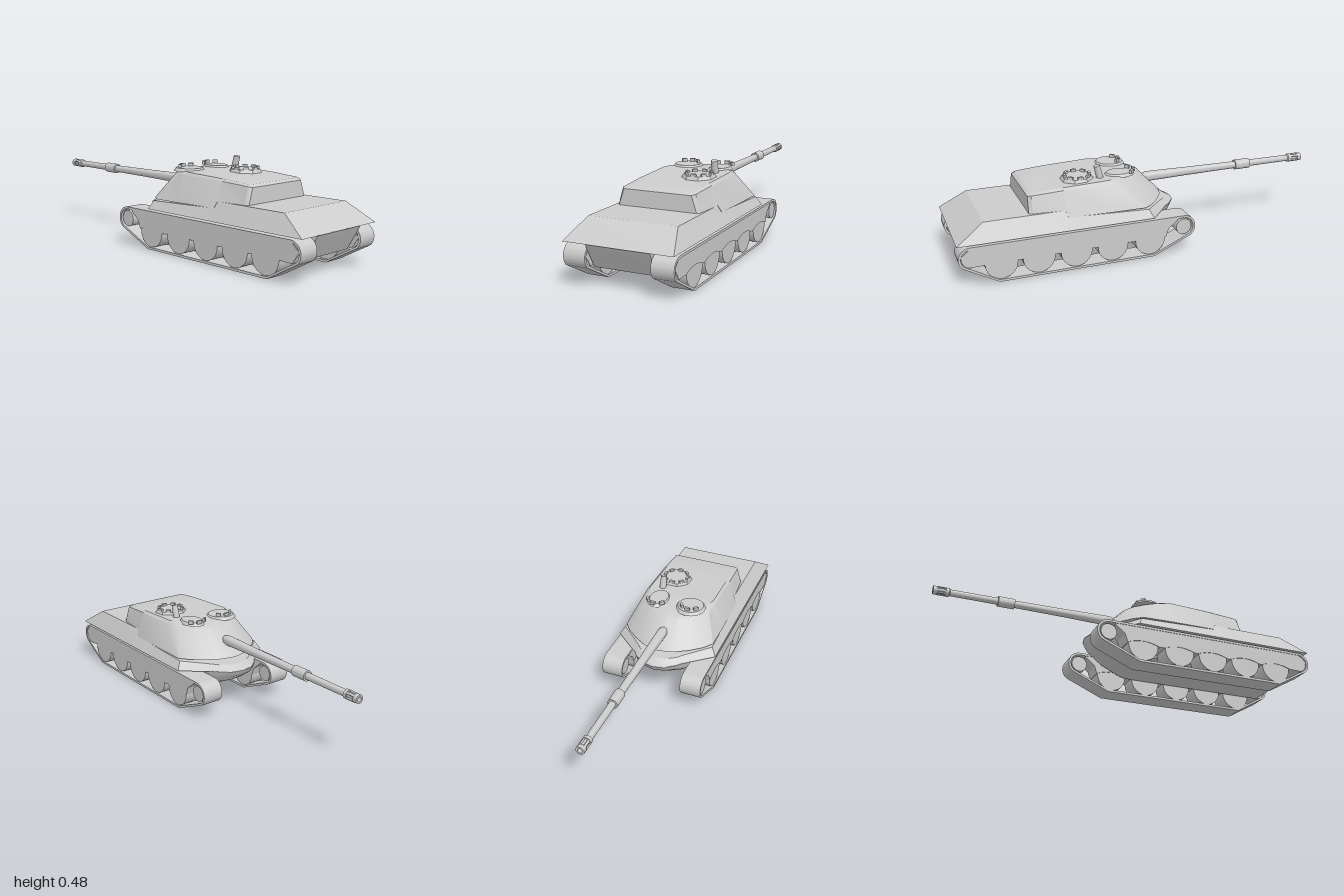
import * as THREE from 'three';
import { toCreasedNormals } from 'three/addons/utils/BufferGeometryUtils.js';

const material = new THREE.MeshStandardMaterial({ color: 0xcccccc });

function add(parent, name, geometry, x = 0, y = 0, z = 0) {
  const mesh = new THREE.Mesh(geometry, material);
  mesh.name = name;
  mesh.position.set(x, y, z);
  parent.add(mesh);
  return mesh;
}

// Stacks mirrored outlines, each given as its +x half from nose to tail: [x, z, y]
function loft(layers, crease = 0.5) {
  const rings = layers.map((half) => [
    ...half.map(([x, z, y]) => [x, y, z]),
    ...half.map(([x, z, y]) => [-x, y, z]).reverse(),
  ]);
  const n = rings[0].length;
  const pos = [];
  const quad = (a, b, c, d) => pos.push(...a, ...b, ...c, ...a, ...c, ...d);
  for (let k = 0; k < rings.length - 1; k++) {
    const lo = rings[k], hi = rings[k + 1];
    for (let i = 0; i < n - 1; i++) quad(lo[i], hi[i], hi[i + 1], lo[i + 1]);
  }
  // caps run across in strips so that they can follow steps
  const bottom = rings[0], top = rings[rings.length - 1];
  for (let i = 0; i < n / 2 - 1; i++) {
    const m = n - 1 - i;
    quad(top[m], top[m - 1], top[i + 1], top[i]);
    quad(bottom[i], bottom[i + 1], bottom[m - 1], bottom[m]);
  }
  const g = new THREE.BufferGeometry();
  g.setAttribute('position', new THREE.Float32BufferAttribute(pos, 3));
  return toCreasedNormals(g, crease);
}

// Extrudes a (z, y) side shape across x, centred
function extrudeSide(shape, width) {
  const g = new THREE.ExtrudeGeometry(shape, { depth: width, bevelEnabled: false, curveSegments: 16 });
  g.translate(0, 0, -width / 2).rotateY(-Math.PI / 2);
  return toCreasedNormals(g, 0.5);
}

// Track loop outline, pulled in by an inset
function trackOutline(path, inset) {
  path.moveTo(0, inset);
  path.lineTo(0.8, inset);
  path.absarc(0.93, 0.14, 0.06 - inset, -0.87, Math.PI / 2, false);
  path.absarc(-0.165, 0.138, 0.062 - inset, Math.PI / 2, 4.1, false);
  path.lineTo(0, inset);
  return path;
}

function createTrack(side) {
  const track = new THREE.Group();
  track.name = side > 0 ? 'leftTrack' : 'rightTrack';
  track.position.x = side * 0.219;
  const wheelZ = [0.785, 0.6, 0.41, 0.22, 0.02];

  const belt = trackOutline(new THREE.Shape(), 0);
  belt.holes.push(trackOutline(new THREE.Path(), 0.012));
  add(track, 'trackBelt', extrudeSide(belt, 0.112));

  // scalloped guard above the wheels
  const guard = new THREE.Shape();
  guard.moveTo(-0.13, 0.194);
  guard.lineTo(0.93, 0.194);
  guard.lineTo(0.978, 0.15);
  guard.lineTo(0.94, 0.095);
  for (const z of wheelZ) {
    guard.lineTo(z + 0.085, 0.097);
    guard.quadraticCurveTo(z, 0.133, z - 0.085, 0.097);
  }
  guard.lineTo(-0.08, 0.14);
  guard.lineTo(-0.13, 0.18);
  add(track, 'trackGuard', extrudeSide(guard, 0.106));

  const wheel = (name, r, y, z) =>
    add(track, name, new THREE.CylinderGeometry(r, r, 0.1, 28).rotateZ(Math.PI / 2), 0, y, z);
  wheelZ.forEach((z) => wheel('roadWheel', 0.08, 0.093, z));
  wheel('idlerWheel', 0.042, 0.138, -0.165);
  wheel('driveSprocket', 0.046, 0.14, 0.93);
  return track;
}

// Raised hatch plate with periscope blocks on an arc
function createHatch(name, x, y, z, plate, rx, rz, angles) {
  const hatch = new THREE.Group();
  hatch.name = name;
  hatch.position.set(x, y, z);
  add(hatch, 'hatchPlate', plate);
  for (const a of angles) {
    const block = add(hatch, 'periscope', new THREE.BoxGeometry(0.026, 0.018, 0.013),
      Math.sin(a) * rx, 0.015, -Math.cos(a) * rz);
    block.rotation.y = -a;
  }
  return hatch;
}

function createGun() {
  const gun = new THREE.Group();
  gun.name = 'gun';
  gun.position.y = 0.336;
  const profile = [
    [0, 0.03], [0.018, 0.036], [0.026, 0.06], [0.026, 0.1], [0.022, 0.3], [0.019, 0.585],
    [0.027, 0.585], [0.027, 0.67], [0.018, 0.67], [0.017, 0.915],
    [0.023, 0.92], [0.023, 0.937], [0.016, 0.937], [0.016, 0.978],
    [0.022, 0.978], [0.022, 1.0], [0.012, 1.0], [0.012, 0.96], [0, 0.96],
  ].map(([r, l]) => new THREE.Vector2(r, l));
  const barrel = new THREE.LatheGeometry(profile, 20).rotateX(-Math.PI / 2);
  add(gun, 'barrel', toCreasedNormals(barrel, 0.6));
  // ribs between the muzzle rings
  for (let i = 0; i < 4; i++) {
    const a = Math.PI / 4 + (i * Math.PI) / 2;
    const rib = add(gun, 'muzzleRib', new THREE.BoxGeometry(0.012, 0.012, 0.05),
      Math.cos(a) * 0.016, Math.sin(a) * 0.016, -0.957);
    rib.rotation.z = a;
  }
  return gun;
}

export function createModel() {
  const tank = new THREE.Group();
  tank.name = 'tank';

  // hull belly with rounded nose
  add(tank, 'lowerHull', loft([
    [[0, 0.0, 0.087], [0.06, 0.005, 0.087], [0.11, 0.02, 0.087], [0.14, 0.05, 0.087], [0.16, 0.1, 0.087], [0.16, 0.92, 0.087]],
    [[0, -0.12, 0.135], [0.06, -0.11, 0.135], [0.11, -0.08, 0.135], [0.14, -0.05, 0.135], [0.16, 0.02, 0.135], [0.16, 0.947, 0.135]],
    [[0, -0.185, 0.18], [0.06, -0.172, 0.18], [0.11, -0.138, 0.18], [0.14, -0.1, 0.18], [0.16, -0.04, 0.18], [0.16, 0.973, 0.18]],
    [[0, -0.2, 0.212], [0.06, -0.187, 0.212], [0.11, -0.152, 0.212], [0.14, -0.115, 0.212], [0.16, -0.08, 0.212], [0.16, 0.99, 0.212]],
  ], 0.7));

  // sloped upper hull with stepped engine deck
  add(tank, 'upperHull', loft([
    [[0, -0.2, 0.21], [0.06, -0.187, 0.21], [0.11, -0.152, 0.21], [0.14, -0.115, 0.21], [0.275, 0, 0.21],
      [0.275, 0.44, 0.21], [0.275, 0.45, 0.21], [0.275, 0.993, 0.21]],
    [[0, -0.155, 0.237], [0.05, -0.147, 0.237], [0.1, -0.117, 0.239], [0.13, -0.085, 0.241], [0.25, 0.02, 0.253],
      [0.242, 0.44, 0.268], [0.226, 0.45, 0.3], [0.226, 0.855, 0.3]],
  ]));

  add(tank, 'turretRing', new THREE.CylinderGeometry(0.2, 0.2, 0.05, 40), 0, 0.247, 0.17);

  // turret: rounded face, slab sides, overhanging bustle
  add(tank, 'turret', loft([
    [[0, -0.128, 0.262], [0.08, -0.108, 0.262], [0.15, -0.065, 0.262], [0.21, -0.015, 0.262], [0.248, 0.035, 0.262],
      [0.25, 0.2, 0.264], [0.245, 0.44, 0.268], [0.228, 0.45, 0.3], [0.214, 0.61, 0.3], [0.203, 0.627, 0.3]],
    [[0, -0.004, 0.39], [0.06, 0.01, 0.39], [0.11, 0.04, 0.39], [0.15, 0.085, 0.391], [0.183, 0.14, 0.394],
      [0.196, 0.2, 0.396], [0.196, 0.44, 0.392], [0.195, 0.45, 0.392], [0.19, 0.608, 0.384], [0.176, 0.624, 0.38]],
    [[0, 0.05, 0.408], [0.05, 0.06, 0.408], [0.09, 0.085, 0.409], [0.13, 0.12, 0.41], [0.165, 0.165, 0.41],
      [0.183, 0.21, 0.41], [0.181, 0.44, 0.402], [0.181, 0.45, 0.402], [0.176, 0.596, 0.393], [0.164, 0.608, 0.392]],
  ]));

  tank.add(createGun());

  // roof fittings
  tank.add(createHatch('loaderHatch', -0.09, 0.411, 0.115,
    new THREE.CylinderGeometry(0.068, 0.08, 0.016, 32), 0.05, 0.05, [-0.9, 0, 0.9]));
  tank.add(createHatch('gunnerHatch', 0.095, 0.411, 0.125,
    new THREE.CylinderGeometry(0.048, 0.058, 0.016, 32).scale(1, 1, 1.4), 0.06, 0.075, [-0.7, 0.1, 0.8]));
  const cupolaPlate = new THREE.CylinderGeometry(0.077, 0.09, 0.024, 8).rotateY(Math.PI / 8).toNonIndexed();
  cupolaPlate.computeVertexNormals();
  tank.add(createHatch('commanderCupola', 0.081, 0.408, 0.345, cupolaPlate, 0.064, 0.064,
    Array.from({ length: 8 }, (_, i) => (i * Math.PI) / 4)));
  const sight = add(tank, 'periscopeSight', new THREE.CylinderGeometry(0.016, 0.018, 0.07, 16), 0.118, 0.438, 0.243);
  sight.rotation.x = 0.25;

  tank.add(createTrack(1), createTrack(-1));
  return tank;
}
